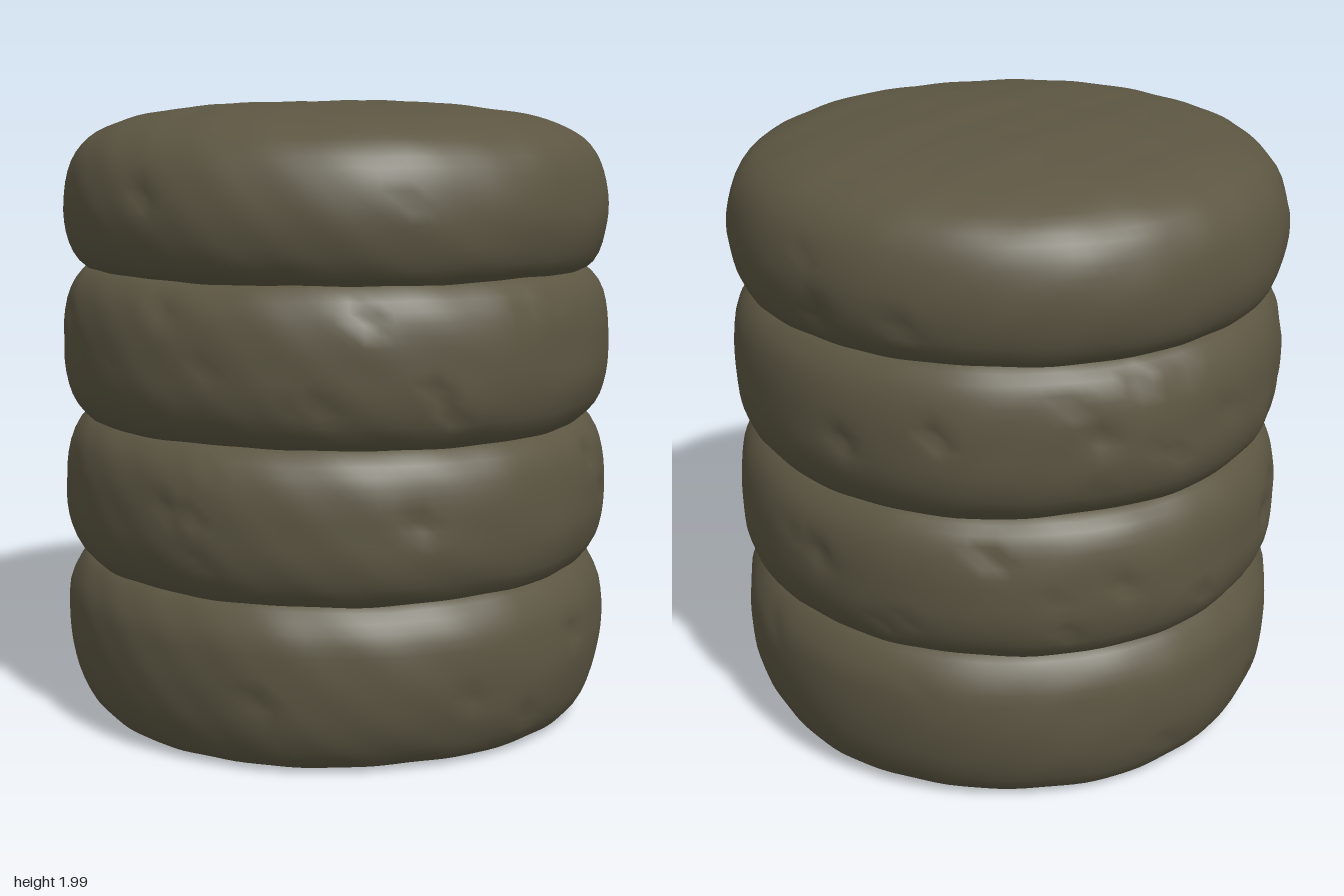
import * as THREE from 'three';
import { mergeVertices } from 'three/addons/utils/BufferGeometryUtils.js';

// small seeded generator, so the weathering is always the same
function seeded(seed) {
  return () => {
    seed = (seed * 16807) % 2147483647;
    return seed / 2147483647;
  };
}

// gentle unevenness made of overlapping waves
function bumps(x, y, z, s) {
  return 0.004 * Math.sin(5 * x + 3 * y + s) * Math.cos(4 * z - 2 * x + s)
    + 0.003 * Math.sin(11 * z + 7 * y + 2 * s) * Math.cos(9 * x - 5 * y)
    + 0.002 * Math.sin(23 * x + 17 * y - s) * Math.sin(21 * z + 13 * y);
}

// one worn stone drum: rounded profile, uneven surface and small chipped pits
function drum(profile, seed, pitCount) {
  const curve = new THREE.SplineCurve(profile.map(([r, y]) => new THREE.Vector2(r, y)));
  const points = curve.getSpacedPoints(64);
  points.forEach((p) => { p.x = Math.max(0, p.x); });
  points[0].x = points[64].x = 0;
  let geo = new THREE.LatheGeometry(points, 128);
  geo.deleteAttribute('uv');
  geo.deleteAttribute('normal');
  geo = mergeVertices(geo, 1e-4);
  geo.computeVertexNormals();

  const pos = geo.attributes.position;
  const nor = geo.attributes.normal;
  const random = seeded(seed * 977 + 13);
  for (let k = 0; k < 10; k++) random();
  const low = profile[0][1];
  const high = profile[profile.length - 1][1];
  const pits = Array.from({ length: pitCount }, () => {
    const a = random() * Math.PI * 2;
    const y = low + (0.12 + 0.76 * random()) * (high - low);
    return {
      at: new THREE.Vector3(0.89 * Math.sin(a), y, 0.89 * Math.cos(a)),
      size: 0.018 + 0.02 * random(),
      depth: 0.01 + 0.02 * random(),
    };
  });

  const p = new THREE.Vector3();
  const n = new THREE.Vector3();
  for (let i = 0; i < pos.count; i++) {
    p.fromBufferAttribute(pos, i);
    n.fromBufferAttribute(nor, i);
    let push = bumps(p.x, p.y, p.z, seed);
    for (const pit of pits) {
      const d = p.distanceTo(pit.at) / pit.size;
      if (d < 3) push -= pit.depth * Math.exp(-d * d);
    }
    p.addScaledVector(n, push);
    p.z *= 1.018; // slightly deeper than wide
    pos.setXYZ(i, p.x, p.y, p.z);
  }
  geo.computeVertexNormals();
  return geo;
}

// profile of a drum squeezed between its neighbours
function middleProfile(bottom, top) {
  return [
    [0, bottom], [0.4, bottom], [0.76, bottom + 0.003], [0.825, bottom + 0.025], [0.868, bottom + 0.08],
    [0.892, bottom + 0.16], [0.896, (bottom + top) / 2], [0.892, top - 0.16],
    [0.872, top - 0.08], [0.83, top - 0.025], [0.76, top - 0.003], [0.4, top], [0, top],
  ];
}

export function createModel() {
  const group = new THREE.Group();
  group.name = 'stoneColumn';
  const stone = new THREE.MeshStandardMaterial({ color: 0x5c5642 });
  stone.name = 'dark olive stone';

  // bottom drum stands flat, top drum has a low dome
  const bottomProfile = [
    [0, 0.018], [0.4, 0.018], [0.74, 0.015], [0.8, 0.025], [0.84, 0.07], [0.876, 0.16], [0.894, 0.28],
    [0.89, 0.4], [0.872, 0.46], [0.83, 0.522], [0.76, 0.543], [0.4, 0.545], [0, 0.545],
  ];
  const topProfile = [
    [0, 1.45], [0.4, 1.45], [0.75, 1.452], [0.825, 1.475], [0.872, 1.54], [0.894, 1.65],
    [0.882, 1.76], [0.845, 1.845], [0.775, 1.905], [0.64, 1.953], [0.42, 1.985], [0.2, 1.996], [0, 1.997],
  ];
  const drums = [
    ['bottomDrum', bottomProfile, 10],
    ['lowerMiddleDrum', middleProfile(0.505, 1.005), 22],
    ['upperMiddleDrum', middleProfile(0.975, 1.485), 28],
    ['topDrum', topProfile, 14],
  ];
  drums.forEach(([name, profile, pitCount], i) => {
    const mesh = new THREE.Mesh(drum(profile, i + 1, pitCount), stone);
    mesh.name = name;
    group.add(mesh);
  });
  return group;
}
